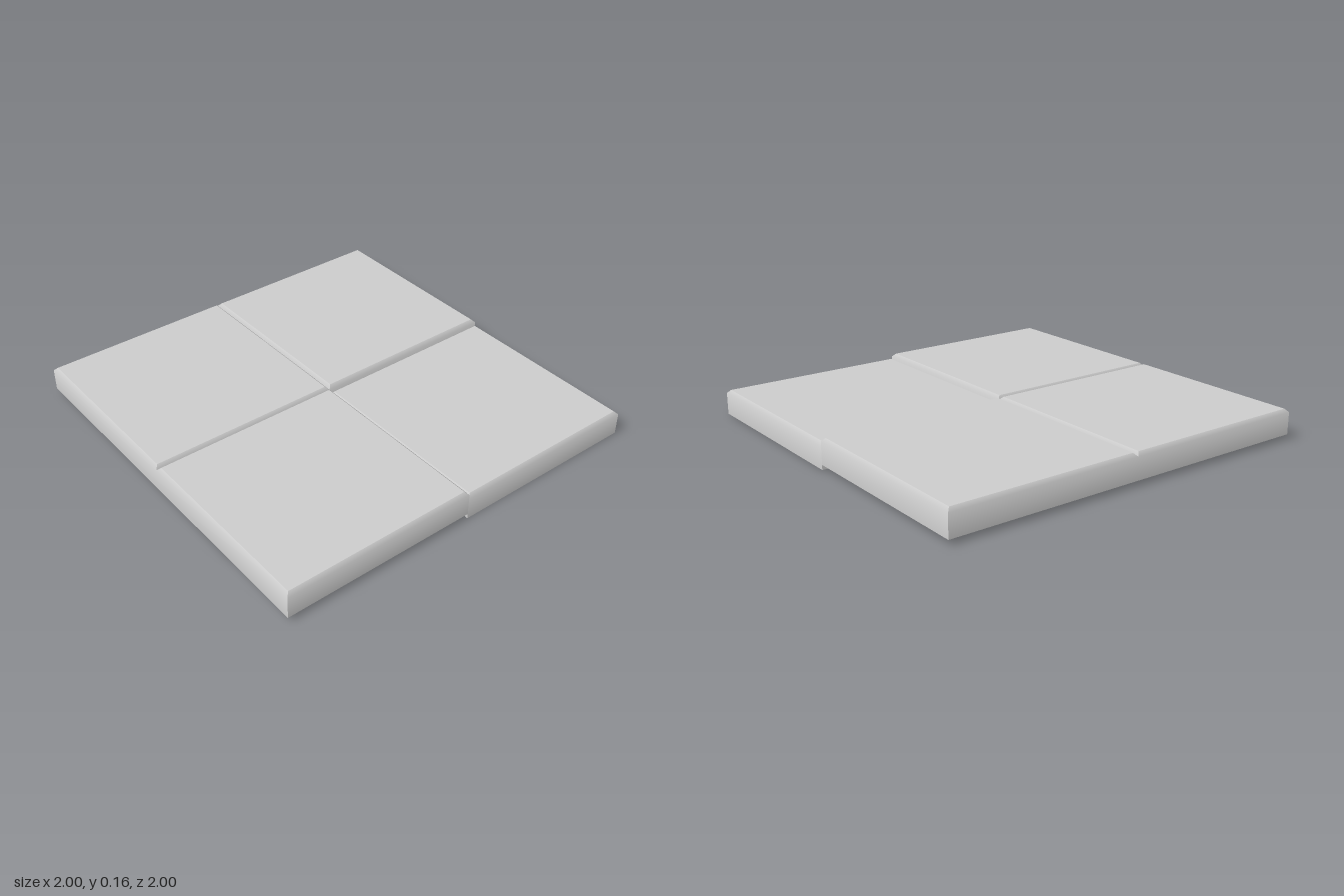
import * as THREE from 'three';
import { mergeGeometries } from 'three/addons/utils/BufferGeometryUtils.js';

const SIZE = 1, HEIGHT = 0.13, BEVEL = 0.017, STEP = 0.025;

// One wall with its mitred bevel, shaded smoothly across the shoulder
function wallGeometry() {
  const h = SIZE / 2, s = Math.SQRT1_2;
  const rows = [
    { x: h, y: 0, z: h, n: [0, 0, 1] },
    { x: h, y: HEIGHT - BEVEL, z: h, n: [0, Math.sin(Math.PI / 8), Math.cos(Math.PI / 8)] },
    { x: h - BEVEL, y: HEIGHT, z: h - BEVEL, n: [0, s, s] },
  ];
  const position = [], normal = [], uv = [], index = [];
  rows.forEach((r, i) => {
    position.push(-r.x, r.y, r.z, r.x, r.y, r.z);
    normal.push(...r.n, ...r.n);
    uv.push(0, i / 2, 1, i / 2);
    if (i < 2) {
      const a = i * 2;
      index.push(a, a + 1, a + 3, a, a + 3, a + 2);
    }
  });
  const g = new THREE.BufferGeometry();
  g.setAttribute('position', new THREE.Float32BufferAttribute(position, 3));
  g.setAttribute('normal', new THREE.Float32BufferAttribute(normal, 3));
  g.setAttribute('uv', new THREE.Float32BufferAttribute(uv, 2));
  g.setIndex(index);
  return g;
}

// Square slab: four bevelled walls, a flat top and a flat underside
function tileGeometry() {
  const parts = [];
  for (let i = 0; i < 4; i++) parts.push(wallGeometry().rotateY(i * Math.PI / 2));
  const inner = SIZE - 2 * BEVEL;
  parts.push(new THREE.PlaneGeometry(inner, inner).rotateX(-Math.PI / 2).translate(0, HEIGHT, 0));
  parts.push(new THREE.PlaneGeometry(SIZE, SIZE).rotateX(Math.PI / 2));
  return mergeGeometries(parts);
}

export function createModel() {
  const group = new THREE.Group();
  group.name = 'floorTiles';
  const material = new THREE.MeshStandardMaterial({ color: 0xcccccc });
  const geometry = tileGeometry();

  // Two by two tiles; the back left one sits slightly lower
  for (const x of [-1, 1]) {
    for (const z of [-1, 1]) {
      const tile = new THREE.Mesh(geometry, material);
      tile.name = (z > 0 ? 'front' : 'back') + (x > 0 ? 'Left' : 'Right') + 'Tile';
      const sunken = x > 0 && z < 0;
      tile.position.set(x * SIZE / 2, sunken ? 0 : STEP, z * SIZE / 2);
      group.add(tile);
    }
  }
  return group;
}
